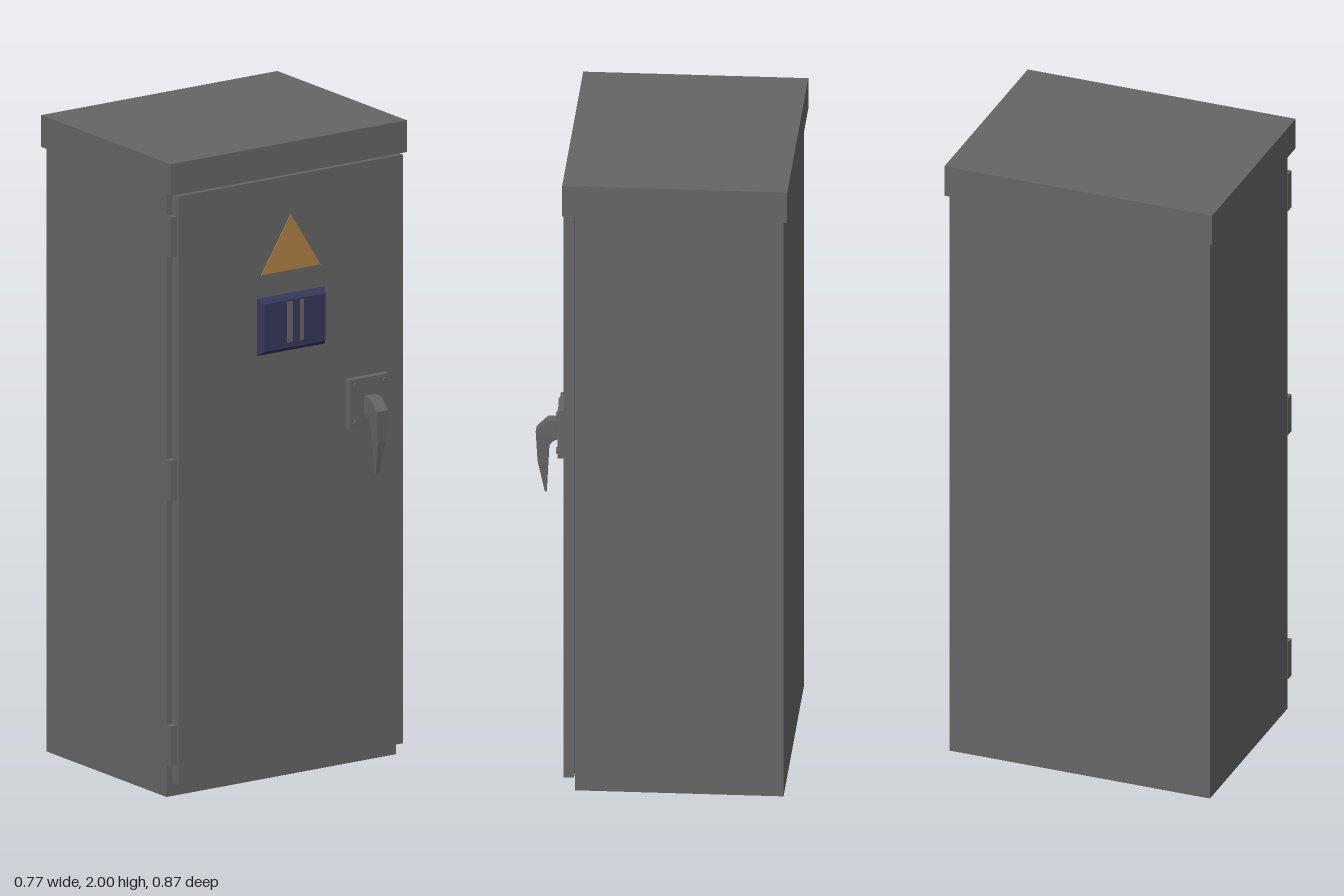
import * as THREE from 'three';

const material = (name, color) => {
  const m = new THREE.MeshStandardMaterial({ color });
  m.name = name;
  return m;
};

export function createModel() {
  const grey = material('cabinet grey', 0x656565);
  const navy = material('navy', 0x36365a);
  const orange = material('warning orange', 0xb07f45);
  const model = new THREE.Group();
  model.name = 'cabinet';

  const add = (name, geometry, mat) => {
    const mesh = new THREE.Mesh(geometry, mat);
    mesh.name = name;
    model.add(mesh);
    return mesh;
  };
  // Box given by its two extreme corners
  const box = (name, mat, [x0, y0, z0], [x1, y1, z1]) => {
    const g = new THREE.BoxGeometry(x1 - x0, y1 - y0, z1 - z0);
    return add(name, g.translate((x0 + x1) / 2, (y0 + y1) / 2, (z0 + z1) / 2), mat);
  };

  // Housing, lid and door on the +x side
  box('body', grey, [-0.375, 0, -0.425], [0.258, 1.9, 0.425]);
  box('lid', grey, [-0.387, 1.9, -0.437], [0.297, 2, 0.437]);
  box('doorSeal', grey, [0.258, 0.055, -0.41], [0.263, 1.88, 0.39]);
  box('door', grey, [0.262, 0.042, -0.425], [0.293, 1.893, 0.405]);
  for (const y of [0.165, 1.0, 1.765]) {
    box('hinge', grey, [0.258, y - 0.063, 0.404], [0.284, y + 0.063, 0.428]);
  }

  // Triangular warning plate
  const triangle = new THREE.Shape([
    new THREE.Vector2(-0.1, 1.597), new THREE.Vector2(0.12, 1.597), new THREE.Vector2(0.009, 1.772),
  ]);
  const plate = new THREE.ExtrudeGeometry(triangle, { depth: 0.003, bevelEnabled: false });
  add('warningPlate', plate.rotateY(Math.PI / 2).translate(0.292, 0, 0), orange);

  // Window with chamfered sides
  const frame = new THREE.BoxGeometry(0.021, 0.18, 0.25).toNonIndexed();
  const p = frame.attributes.position;
  for (let i = 0; i < p.count; i++) {
    if (p.getX(i) > 0) p.setXYZ(i, p.getX(i), p.getY(i) * 0.83, p.getZ(i) * 0.9);
  }
  frame.computeVertexNormals();
  add('window', frame.translate(0.3035, 1.435, -0.011), navy);
  box('windowStripWide', grey, [0.313, 1.377, -0.003], [0.315, 1.505, 0.018]);
  box('windowStripNarrow', grey, [0.313, 1.377, -0.043], [0.315, 1.505, -0.03]);

  // Lock plate with four screws
  box('lockPlate', grey, [0.293, 1.065, -0.358], [0.317, 1.222, -0.212]);
  for (const y of [1.085, 1.202]) {
    for (const z of [-0.342, -0.234]) {
      const screw = new THREE.CylinderGeometry(0.01, 0.01, 0.006, 12).rotateZ(-Math.PI / 2);
      add('screw', screw.translate(0.319, y, z), grey);
    }
  }

  // Curved handle, narrowing towards its tip
  const profile = new THREE.Shape();
  profile.moveTo(0.316, 1.165);
  profile.lineTo(0.352, 1.165);
  profile.lineTo(0.387, 1.13);
  profile.lineTo(0.382, 1.03);
  profile.lineTo(0.36, 0.925);
  profile.lineTo(0.355, 0.925);
  profile.lineTo(0.348, 1.07);
  profile.quadraticCurveTo(0.345, 1.1, 0.316, 1.105);
  const handle = new THREE.ExtrudeGeometry(profile, { depth: 0.042, bevelEnabled: false, curveSegments: 4 });
  handle.translate(0, 0, -0.021);
  const h = handle.attributes.position;
  for (let i = 0; i < h.count; i++) {
    const t = THREE.MathUtils.clamp((h.getY(i) - 0.925) / 0.205, 0, 1);
    h.setZ(i, h.getZ(i) * THREE.MathUtils.lerp(0.3, 1, t));
  }
  handle.computeVertexNormals();
  add('handle', handle.translate(0, 0, -0.284), grey);

  return model;
}
